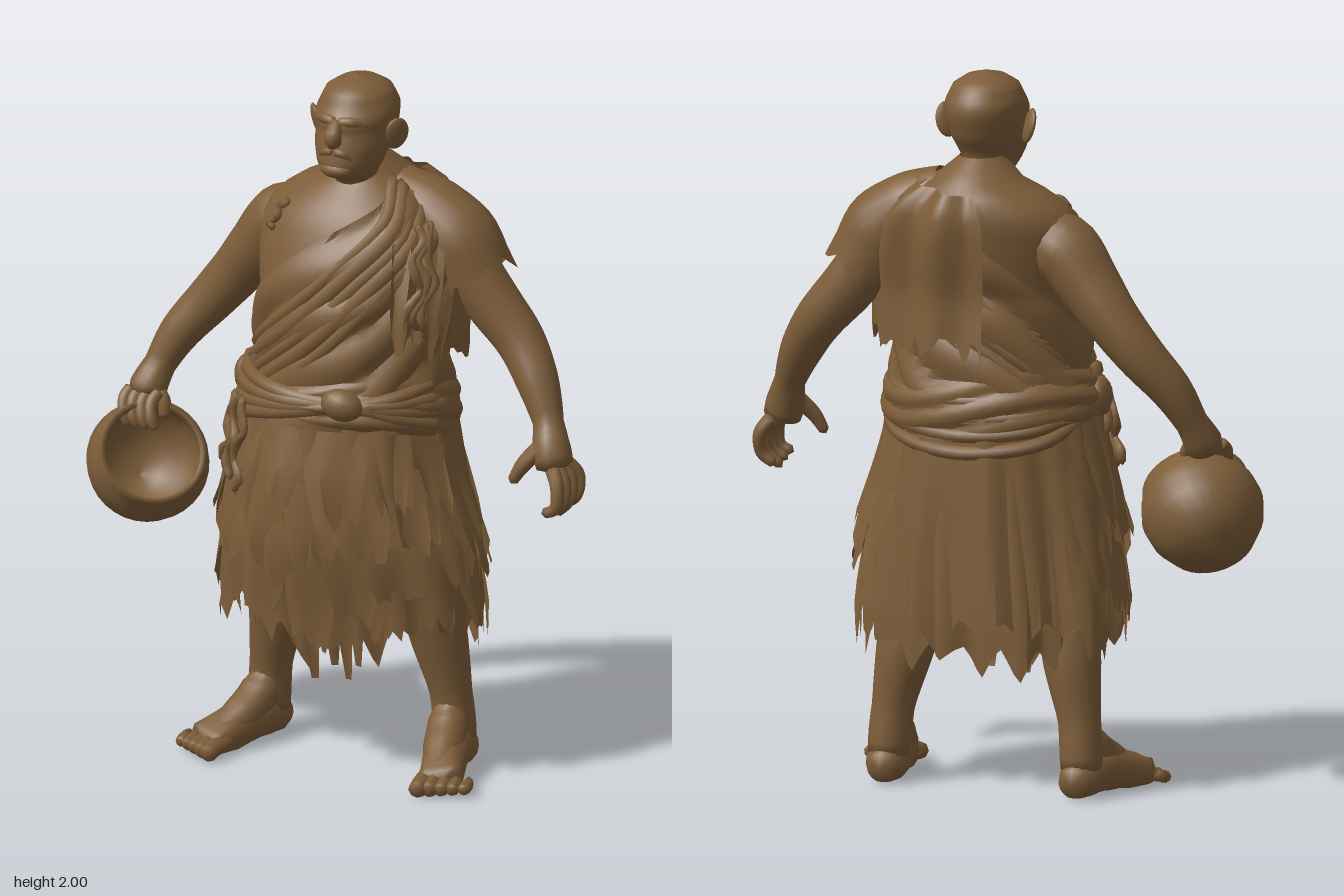
import * as THREE from 'three';
import { mergeVertices, toCreasedNormals } from 'three/addons/utils/BufferGeometryUtils.js';

const V = (a) => new THREE.Vector3(...a);
const brown = new THREE.MeshStandardMaterial({ color: 0x7d5d39, side: THREE.DoubleSide });
brown.name = 'earthBrown';
const hash = (n, s = 0) => { const x = Math.sin(n * 12.9898 + s * 78.233 + 1) * 43758.5453; return x - Math.floor(x); };
const lerp = THREE.MathUtils.lerp;

// cross-sections, top to bottom: y, centre x, centre z, half width, half depth
const HEAD = [[2, .045, -.035, .004, .004], [1.993, .045, -.035, .045, .05], [1.965, .045, -.035, .09, .1], [1.92, .045, -.035, .112, .123],
  [1.895, .045, -.025, .112, .138], [1.87, .045, -.025, .11, .132], [1.82, .045, -.008, .104, .13], [1.775, .045, .012, .088, .118], [1.745, .045, .01, .074, .11],
  [1.715, .045, -.035, .07, .085], [1.66, .045, -.06, .085, .1]];
const TORSO = [[1.77, .045, -.06, .06, .075], [1.71, .05, -.085, .12, .125], [1.66, .04, -.075, .215, .17], [1.6, .035, -.055, .27, .19],
  [1.5, .04, -.025, .28, .2], [1.4, .045, 0, .27, .205], [1.3, .045, 0, .26, .21], [1.2, .04, 0, .262, .215], [1, .03, 0, .3, .23]];
const SKIRT = [[1.22, .035, 0, .262, .215], [1.12, .035, .005, .29, .235], [.9, .03, .005, .325, .25], [.7, .035, -.005, .36, .245],
  [.5, .03, -.035, .375, .22], [.2, .03, -.045, .37, .2]];

// point on a stack of cross-sections; angle 0 is the front, +90 degrees the left
function at(rows, t, y, off = 0) {
  let i = 0;
  while (i < rows.length - 2 && y < rows[i + 1][0]) i++;
  const a = rows[i], b = rows[i + 1], k = THREE.MathUtils.clamp((a[0] - y) / (a[0] - b[0]), 0, 1);
  const [, cx, cz, rx, rz] = a.map((v, j) => lerp(v, b[j], k));
  return V([cx + (rx + off) * Math.sin(t), y, cz + (rz + off) * Math.cos(t)]);
}

// sheet wrapped around cross-sections between two angles
function sheet(rows, t0, t1, top, bottom, off, nt, ny, crease = .6, taper = 0) {
  const g = new THREE.PlaneGeometry(1, 1, nt, ny), p = g.attributes.position;
  for (let i = 0; i < p.count; i++) {
    const c = i % (nt + 1), v = Math.floor(i / (nt + 1)) / ny;
    const t = lerp((t0 + t1) / 2, lerp(t0, t1, c / nt), 1 - taper * v * v);
    const y = lerp(top(t, c), bottom(t, c), v);
    p.setXYZ(i, ...at(rows, t, y, off(t, y, v)));
  }
  return finish(g, crease);
}

function finish(g, crease) {
  g.deleteAttribute('uv'); g.deleteAttribute('normal');
  g = mergeVertices(g, 1e-4);
  g.computeVertexNormals();
  return crease ? toCreasedNormals(g, crease) : g;
}

// round limb along points [x, y, z, radius]
function limb(pts, { sides = 12, open = false, jag = 0 } = {}) {
  const curve = new THREE.CatmullRomCurve3(pts.map((q) => V(q.slice(0, 3)))), seg = pts.length * 4;
  const g = new THREE.TubeGeometry(curve, seg, 1, sides), p = g.attributes.position, v = new THREE.Vector3();
  for (let i = 0; i < p.count; i++) {
    const ring = Math.floor(i / (sides + 1)), u = ring / seg, k = curve.getUtoTmapping(u) * (pts.length - 1);
    const a = Math.min(Math.floor(k), pts.length - 2), c = curve.getPointAt(u);
    const r = !open && (ring === 0 || ring === seg) ? 0 : lerp(pts[a][3], pts[a + 1][3], k - a);
    v.fromBufferAttribute(p, i).sub(c).multiplyScalar(r).add(c);
    if (ring === seg) v.addScaledVector(curve.getTangentAt(1), jag * hash(i % sides, 4));
    p.setXYZ(i, v.x, v.y, v.z);
  }
  return finish(g, jag ? .6 : 0);
}

export function createModel() {
  const root = new THREE.Group();
  const add = (name, g) => { const m = new THREE.Mesh(g, brown); m.name = name; root.add(m); return m; };
  const ball = (name, pos, size, rot = [0, 0, 0]) => {
    const m = add(name, new THREE.SphereGeometry(1, 14, 10));
    m.position.set(...pos); m.scale.set(...size); m.rotation.set(...rot);
  };
  const PI = Math.PI, flat = () => 0;

  // bald head and face
  add('head', sheet(HEAD, -PI, PI, () => 2, () => 1.66, flat, 28, 28, 0));
  add('nose', limb([[.045, 1.905, .095, .014], [.045, 1.885, .112, .02], [.045, 1.862, .125, .025], [.045, 1.84, .112, .022]], { sides: 10 }));
  ball('chin', [.045, 1.765, .1], [.05, .026, .034]);
  for (const s of [-1, 1]) {
    add('brow', limb([[.045, 1.898, .1, .014], [.045 + s * .04, 1.902, .09, .015], [.045 + s * .08, 1.893, .058, .012]], { sides: 8 }));
    ball('ear', [.045 + s * .122, 1.85, -.02], [.013, .05, .036], [0, -s * .7, -s * .25]);
    add('moustache', limb([[.045, 1.82, .122, .011], [.045 + s * .03, 1.814, .113, .012], [.045 + s * .05, 1.79, .098, .006]], { sides: 7 }));
    add('collarbone', limb([[.045 + s * .03, 1.68, .035, .012], [.04 + s * .1, 1.665, .035, .014], [.04 + s * .17, 1.645, -.01, .012]], { sides: 8 }));
  }

  // bare torso
  add('torso', sheet(TORSO, -PI, PI, () => 1.77, () => 1, flat, 36, 24, 0));

  // robe wrapped under the right arm and over the left shoulder, with slanting folds
  const neckline = (t) => 1.52 + .19 * Math.sin(t) + .06 * Math.cos(t) ** 2;
  const robeFold = (t, y) => .008 + .02 * Math.abs(Math.sin((y - .22 * Math.sin(t)) * 22 + Math.sin(t * 3)));
  add('robe', sheet(TORSO, -PI, PI, neckline, () => 1.05, robeFold, 64, 30));
  for (let i = 0; i < 5; i++) {
    const path = [[1.2, 1.7], [.65, 1.6], [.15, 1.47], [-.35, 1.34], [-.85, 1.24], [-1.3, 1.17]];
    add('sashFold', limb(path.map(([t, y], k) => [...at(TORSO, t + i * .09, y + .03 - i * .016 * (1 + k * .25), .008), .02 + .005 * (i % 2)]), { sides: 7 }));
    add('backFold', limb([[1.9, 1.66], [2.5, 1.55], [3.1, 1.43], [3.8, 1.3], [4.4, 1.2]]
      .map(([t, y], k) => [...at(TORSO, t, y - i * .034 * (1 + k * .1), .003), .02]), { sides: 7 }));
  }

  // shoulder cover and loose cloth hanging behind
  add('shoulderCover', limb([[.13, 1.665, -.085, .075], [.23, 1.612, -.09, .105], [.32, 1.545, -.09, .118], [.365, 1.465, -.095, .112]],
    { sides: 22, open: true, jag: .06 }));
  const drapeOff = (t, y, v) => .028 + .02 * Math.sin(Math.min(1, v * 2) * PI / 2) + .016 * v + .014 * Math.sin(t * 11 + v);
  add('backDrape', sheet(TORSO, 1.5, 3.4, (t) => 1.72 - .02 * (t - 1.5), (t, c) => 1.29 - .07 * hash(c >> 1, 2), drapeOff, 40, 12));
  for (let i = 0; i < 6; i++) {
    const t = .85 + i * .18;
    add('shoulderRag', sheet(TORSO, t - .16, t + .16, () => 1.58, () => 1.36 - .16 * hash(i, 9), (a, y, v) => .025 + .02 * v + .01 * Math.sin(a * 30), 5, 5, .6, .8));
  }

  // knotted cords
  const cord = (rows, t, y0, y1, s, off) => add('cord', limb([0, 1, 2, 3, 4, 5, 6].map((k) =>
    [...at(rows, t + .07 * Math.sin(k * 2 + s), lerp(y0, y1, k / 6), off), .009 + .007 * (k % 2)]), { sides: 6 }));
  for (let i = 0; i < 3; i++) {
    cord(TORSO, .95 + i * .08, 1.63, 1.37 - i * .03, i, .04);
    cord(SKIRT, -.95 + i * .13, 1.1, .88 - i * .03, i * 2, .04);
  }
  cord(TORSO, -.75, 1.64, 1.56, 1, .004);

  // waist wrap and front knot
  add('waistWrap', sheet(SKIRT, -PI, PI, (t) => 1.18 + .015 * Math.sin(t * 2), (t) => 1.035 - .035 * Math.cos(t + PI) - .02 * Math.sin(t),
    (t, y, v) => .016 * Math.sin(v * PI) + .012 * Math.abs(Math.sin(v * 8 + Math.sin(t * 2) * 1.5)), 56, 14));
  for (let i = 0; i < 4; i++) {
    add('waistFold', limb([-1.5, -.9, -.3, .35].map((t, k) => [...at(SKIRT, t, lerp(1.0 + i * .055, 1.13, k / 3), .012), .022]), { sides: 7 }));
    add('waistFold', limb([.45, .9, 1.4].map((t, k) => [...at(SKIRT, t, lerp(1.13, 1.05 + i * .04, k / 2), .012), .02]), { sides: 7 }));
    add('backWaistFold', limb([1.7, 2.3, 3.1, 3.9, 4.6].map((t, k) => [...at(SKIRT, t, 1.13 - i * .03 * (.6 + Math.sin(k * .78)) - .02 * Math.sin(k * .78), .002), .02]), { sides: 7 }));
  }
  ball('knot', [.135, 1.135, .245], [.06, .045, .04], [0, .2, -.2]);
  ball('sideKnot', [-.265, 1.1, .03], [.035, .055, .05]);

  // torn skirt in two full layers
  const tooth = (c, s) => [0, .35, .75, 1, .6, .2][c % 6] * hash(Math.floor(c / 6), s);
  const pleat = (t, y, v) => Math.sqrt(v) * (.014 * Math.sin(t * 9 + Math.sin(t * 4)) + .01 * Math.sin(t * 19 + y * 3));
  add('underSkirt', sheet(SKIRT, -PI, PI, () => 1.15, (t, c) => .48 - .13 * tooth(c, 3) - .09 * Math.exp(-t * t * 10) - .06 * (Math.abs(t) > 2.2),
    (t, y, v) => -.014 + pleat(t, y, v), 120, 12));
  add('overSkirt', sheet(SKIRT, -PI, PI, () => 1.14, (t, c) => (Math.abs(t) > 1.9 ? .5 : .74) - .16 * tooth(c, 7),
    (t, y, v) => .002 + pleat(t + .2, y, v), 108, 9));

  // broad torn flaps layered over the front and sides, lowest tier first
  for (let tier = 0; tier < 4; tier++) for (let i = 0; i < 9; i++) {
    const n = tier * 9 + i, t = -2 + i * .5 + .25 * (tier % 2) + .15 * (hash(n, 5) - .5), w = .2 + .12 * hash(n, 6);
    const top = .72 + tier * .11, len = .24 + .13 * hash(n, 8);
    add('flap', sheet(SKIRT, t - w, t + w, () => top, (a, c) => Math.max(.38, top - len) + .07 * hash(c, n),
      (a, y, v) => .002 + .03 * v + .012 * v * Math.sin(a * 14 + n), 7, 5, .6, .45));
  }
  for (let i = 0; i < 7; i++) {
    const t = -.3 + i * .1;
    add('longRag', sheet(SKIRT, t - .1, t + .1, () => .8, () => .25 + .12 * hash(i, 1) + Math.abs(i - 3) * .015,
      (a, y, v) => .006 - .03 * v + .01 * Math.sin(a * 24), 4, 6, .6, .75));
  }

  // arms running into the palms
  add('rightArm', limb([[-.11, 1.55, -.075, .08], [-.205, 1.525, -.08, .1], [-.285, 1.435, -.09, .088], [-.36, 1.345, -.1, .076], [-.44, 1.25, -.093, .068],
    [-.52, 1.15, -.06, .058], [-.565, 1.06, -.028, .045], [-.585, 1, .005, .054], [-.59, .96, .025, .045]], { sides: 16 }));
  add('leftArm', limb([[.25, 1.56, -.08, .08], [.345, 1.48, -.085, .085], [.435, 1.37, -.093, .078], [.515, 1.28, -.09, .07], [.585, 1.18, -.058, .06],
    [.635, 1.08, -.025, .043], [.66, 1.01, .003, .056], [.68, .95, .012, .05]], { sides: 16 }));

  // right hand gripping the rim, left hand hanging open
  for (let i = 0; i < 4; i++) {
    const x = -.635 + i * .028, z = -.055 + i * .042;
    add('rightFinger', limb([[x + .01, 1.0, .025, .018], [x, .97, .055, .018], [x + .012, .925, .075, .016], [x + .025, .9, .07, .012]], { sides: 8 }));
    add('leftFinger', limb([[.68, .98, z * .6, .021], [.712, .93, z, .02], [.71, .875, z + .01, .018], [.67, .828 + .014 * Math.abs(i - 1), z + .015, .013]], { sides: 8 }));
  }
  add('rightThumb', limb([[-.56, 1.0, .01, .022], [-.53, .965, .02, .02], [-.525, .92, .03, .014]], { sides: 8 }));
  add('leftThumb', limb([[.64, 1.03, .015, .026], [.595, .975, .05, .022], [.565, .92, .065, .014]], { sides: 8 }));

  // clay bowl with a thick rim, tilted forward
  const bowl = add('bowl', new THREE.LatheGeometry([[0, -.17], [.07, -.157], [.125, -.117], [.16, -.055], [.171, 0], [.162, .05], [.145, .085], [.148, .102],
    [.134, .104], [.13, .085], [.148, .045], [.154, 0], [.142, -.055], [.105, -.105], [.05, -.14], [0, -.148]].map((q) => new THREE.Vector2(...q)), 32));
  bowl.position.set(-.567, .797, .045);
  bowl.quaternion.setFromUnitVectors(V([0, 1, 0]), V([.5, .55, .66]).normalize());

  // legs and bare feet
  for (const s of [-1, 1]) {
    const x = (d) => .012 + s * d, side = s < 0 ? 'right' : 'left';
    add(side + 'Leg', limb([[x(.19), .8, -.04, .12], [x(.225), .52, -.07, .09], [x(.25), .37, -.095, .08], [x(.277), .22, -.11, .059],
      [x(.286), .12, -.117, .06], [x(.288), .05, -.12, .055]], { sides: 16 }));
    add(side + 'Instep', limb([[x(.278), .22, -.11, .03], [x(.29), .14, -.07, .056], [x(.312), .085, .005, .056], [x(.345), .045, .09, .04]], { sides: 14 }));
    const foot = limb([[x(.285), .045, -.195, .035], [x(.288), .055, -.14, .058], [x(.305), .07, -.04, .064], [x(.336), .05, .05, .062], [x(.366), .035, .13, .06]], { sides: 16 });
    const p = foot.attributes.position;
    for (let i = 0; i < p.count; i++) p.setY(i, THREE.MathUtils.clamp(p.getY(i), .008, .16 - .55 * Math.max(0, p.getZ(i) + .04)));
    foot.computeVertexNormals();
    add(side + 'Foot', foot);
    for (let i = 0; i < 5; i++) {
      const d = .31 + i * .028, r = .025 - i * .0018, z = .185 - .016 * i;
      add(side + 'Toe', limb([[x(d), .04, .09, r], [x(d + .01), .035, z - .03, r], [x(d + .014), .027, z, r], [x(d + .016), .023, z + .012, r * .6]], { sides: 8 }));
    }
  }
  return root;
}
